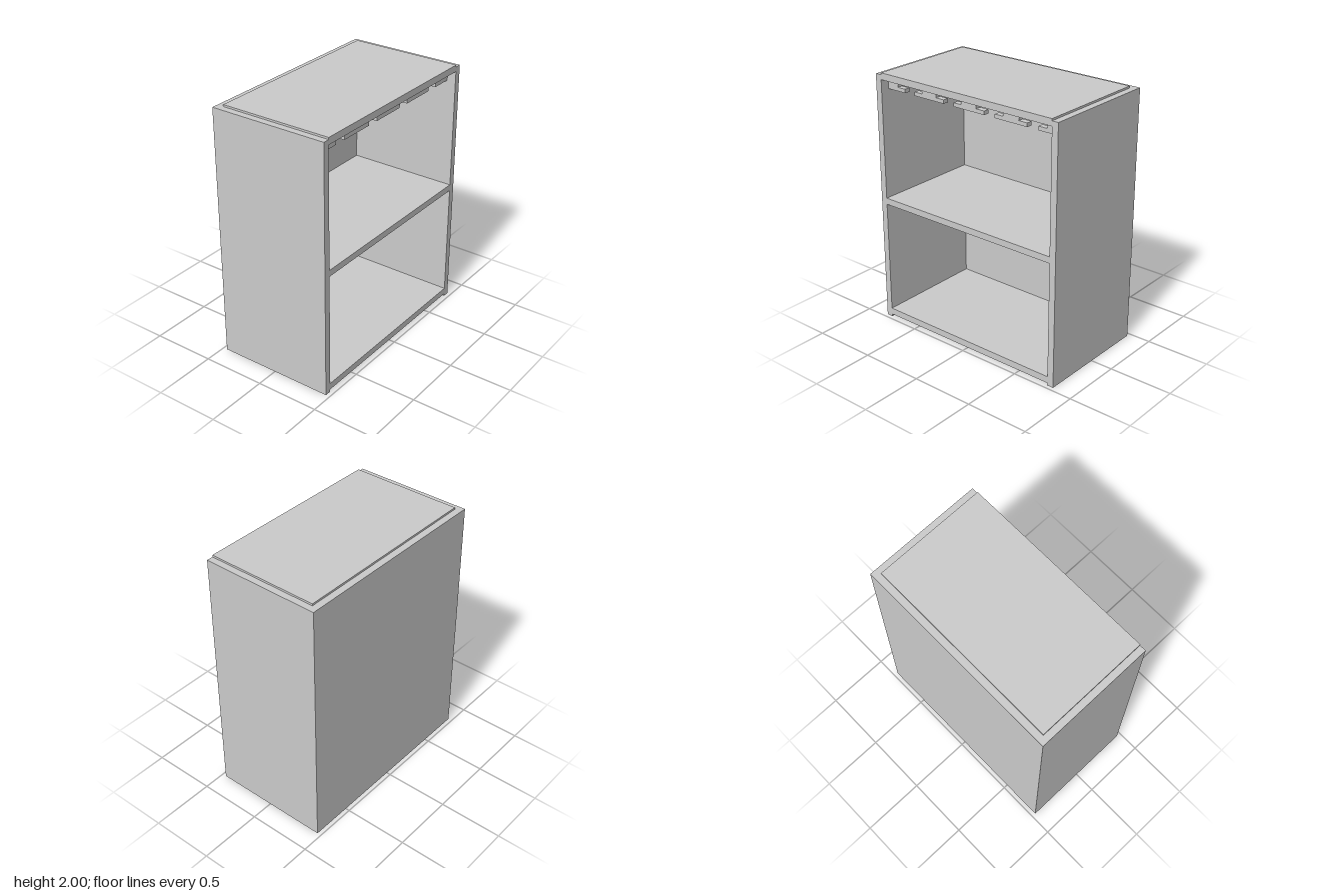
import * as THREE from 'three';

const material = new THREE.MeshStandardMaterial({ color: 0xcccccc, flatShading: true });

// Board given by its minimum and maximum corner
function board(name, [x0, y0, z0], [x1, y1, z1]) {
  const mesh = new THREE.Mesh(new THREE.BoxGeometry(x1 - x0, y1 - y0, z1 - z0), material);
  mesh.name = name;
  mesh.position.set((x0 + x1) / 2, (y0 + y1) / 2, (z0 + z1) / 2);
  return mesh;
}

// Hanging rail with T-shaped slots open at the bottom
function slottedRail(halfWidth, bottom, top, thickness) {
  const ledge = 1.893, slotTop = 1.92, neck = 0.047, slot = 0.119;
  const s = new THREE.Shape();
  s.moveTo(-halfWidth, bottom);
  for (let i = 0; i < 4; i++) {
    const c = (i - 1.5) * 0.374 + 0.003;
    s.lineTo(c - neck, bottom);
    s.lineTo(c - neck, ledge);
    s.lineTo(c - slot, ledge);
    s.lineTo(c - slot, slotTop);
    s.lineTo(c + slot, slotTop);
    s.lineTo(c + slot, ledge);
    s.lineTo(c + neck, ledge);
    s.lineTo(c + neck, bottom);
  }
  s.lineTo(halfWidth, bottom);
  s.lineTo(halfWidth, top);
  s.lineTo(-halfWidth, top);
  s.closePath();
  const mesh = new THREE.Mesh(
    new THREE.ExtrudeGeometry(s, { depth: thickness, bevelEnabled: false }), material);
  mesh.name = 'slottedRail';
  return mesh;
}

export function createModel() {
  const group = new THREE.Group();
  group.name = 'cabinet';
  const outer = 0.825, inner = 0.774, front = 0.468, back = -0.468, inside = -0.415;

  // Side walls and back panel
  group.add(board('rightSide', [-outer, 0, back], [-inner, 1.985, front]));
  group.add(board('leftSide', [inner, 0, back], [outer, 1.985, front]));
  group.add(board('backPanel', [-inner, 0, back], [inner, 1.985, inside]));

  // Horizontal boards between the sides
  const levels = { bottomBoard: [0.02, 0.072], middleShelf: [0.968, 1.018], topBoard: [1.948, 2] };
  for (const [name, [y0, y1]] of Object.entries(levels)) {
    group.add(board(name, [-inner, y0, inside], [inner, y1, front]));
  }

  // Rail under the top board, set back a little from the front
  const rail = slottedRail(inner, 1.864, 1.948, 0.045);
  rail.position.z = front - 0.115;
  group.add(rail);

  return group;
}
